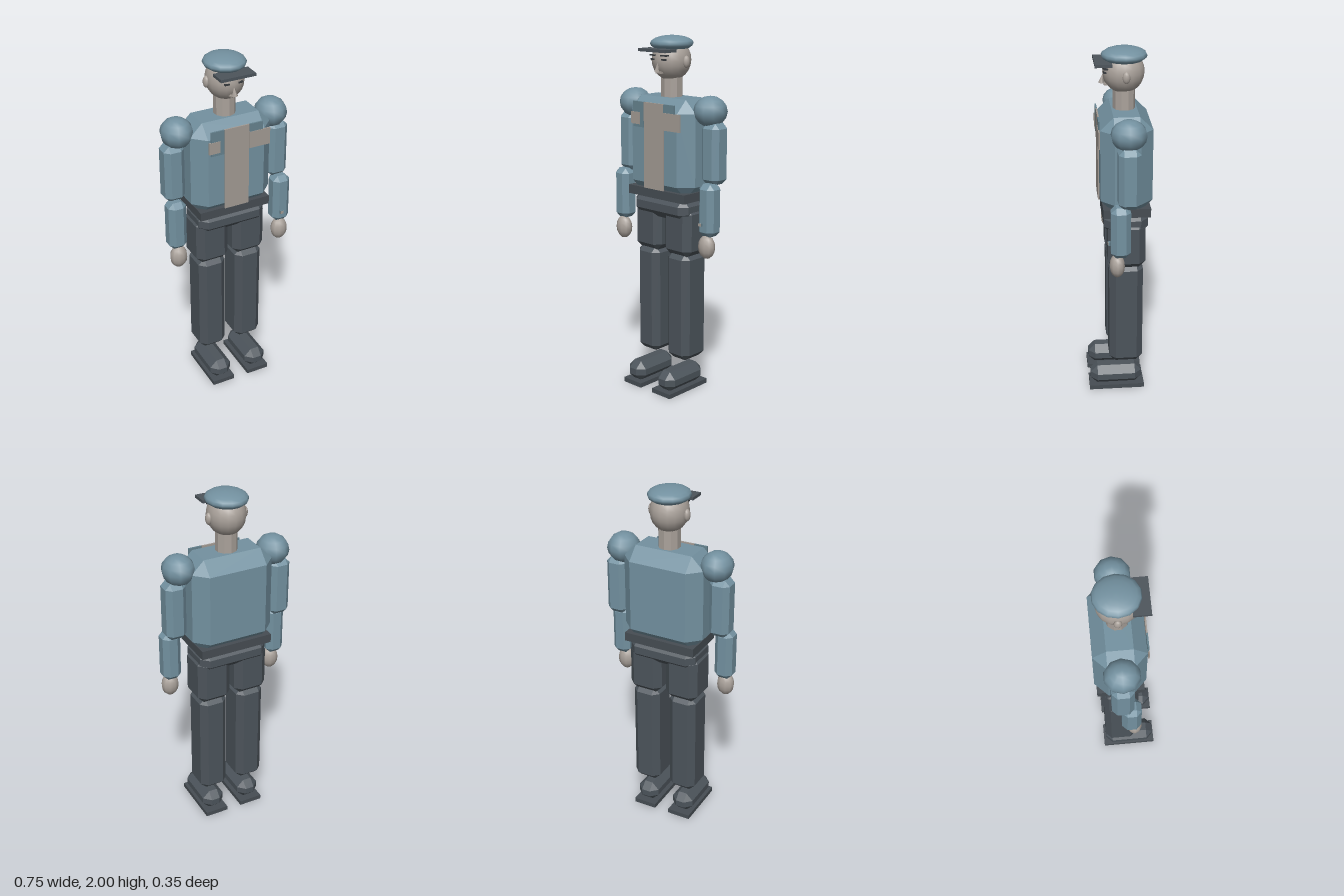
import * as THREE from 'three';
import { ConvexGeometry } from 'three/addons/geometries/ConvexGeometry.js';

const material = (name, color, flatShading = false) => {
  const m = new THREE.MeshStandardMaterial({ color, flatShading });
  m.name = name;
  return m;
};

// Box with chamfered edges and triangular corners
function chamferBox(w, h, d, b) {
  const x = w / 2, y = h / 2, z = d / 2, pts = [];
  for (const i of [-1, 1]) for (const j of [-1, 1]) for (const k of [-1, 1]) {
    pts.push(new THREE.Vector3(i * x, j * (y - b), k * (z - b)));
    pts.push(new THREE.Vector3(i * (x - b), j * y, k * (z - b)));
    pts.push(new THREE.Vector3(i * (x - b), j * (y - b), k * z));
  }
  return new ConvexGeometry(pts);
}

export function createModel() {
  const root = new THREE.Group();
  root.name = 'uniformedFigure';
  const blue = material('uniformBlue', 0x7391a0);
  const pocketBlue = material('pocketBlue', 0x66838f);
  const skin = material('skin', 0xaaa29b);
  const tan = material('panelTan', 0xa39b94);
  const dark = material('trouserGrey', 0x4c545b);
  const beltGrey = material('beltGrey', 0x464d53);
  const black = material('featureDark', 0x35393d);
  const Z = -0.037; // body axis

  const add = (name, geo, mat, x, y, z) => {
    const m = new THREE.Mesh(geo, mat);
    m.name = name;
    m.position.set(x, y, z);
    root.add(m);
    return m;
  };
  // Parts given by their extents: [x0, x1], [y0, y1], [z0, z1]
  const mid = (r) => (r[0] + r[1]) / 2, len = (r) => r[1] - r[0];
  const box = (name, mat, x, y, z) =>
    add(name, new THREE.BoxGeometry(len(x), len(y), len(z)), mat, mid(x), mid(y), mid(z));
  const soft = (name, mat, x, y, z, b) =>
    add(name, chamferBox(len(x), len(y), len(z), b), mat, mid(x), mid(y), mid(z));
  const ball = (name, mat, c, r, ws, hs) =>
    add(name, new THREE.SphereGeometry(1, ws, hs).scale(...r), mat, ...c);

  // Torso, belt and hips
  soft('torso', blue, [-0.237, 0.237], [1.13, 1.67], [-0.177, 0.103], 0.071);
  box('belt', beltGrey, [-0.21, 0.21], [1.115, 1.165], [-0.166, 0.092]);
  soft('hips', dark, [-0.2, 0.2], [1.0, 1.13], [-0.157, 0.085], 0.043);

  // Shirt front, pockets and badges
  box('shirtFront', tan, [-0.072, 0.072], [1.17, 1.645], [0.102, 0.11]);
  for (const s of [-1, 1])
    box('pocket', pocketBlue, s < 0 ? [-0.152, -0.075] : [0.075, 0.152], [1.505, 1.645], [0.102, 0.111]);
  box('rightBadge', tan, [-0.165, -0.1], [1.52, 1.587], [0.106, 0.114]);
  box('leftBadge', tan, [0.07, 0.195], [1.505, 1.6], [0.106, 0.114]);

  // Neck and head
  add('neck', new THREE.CylinderGeometry(0.06, 0.06, 0.16, 10).toNonIndexed(),
    material('neckSkin', 0xaaa29b, true), 0, 1.72, Z);
  ball('head', skin, [0, 1.868, -0.034], [0.104, 0.113, 0.112], 16, 12);
  ball('cap', blue, [0, 1.957, Z], [0.115, 0.043, 0.123], 14, 10);
  box('capBrim', dark, [-0.1, 0.1], [1.917, 1.933], [0.033, 0.123]);

  // Face
  const nose = add('nose', new THREE.ConeGeometry(0.018, 0.055, 4), skin, 0, 1.835, 0.078);
  nose.rotation.x = -0.15;
  box('mouth', tan, [-0.021, 0.021], [1.8, 1.81], [0.05, 0.071]);
  for (const s of [-1, 1]) {
    const side = s < 0 ? 'right' : 'left';
    const span = (a, b) => (s < 0 ? [-b, -a] : [a, b]);
    ball(side + 'Ear', skin, [s * 0.104, 1.862, -0.04], [0.017, 0.033, 0.021], 10, 8);
    box(side + 'Brow', black, span(0.018, 0.06), [1.893, 1.9], [0.05, 0.075]);
    box(side + 'Eye', black, span(0.026, 0.052), [1.871, 1.879], [0.055, 0.075]);

    // Arms
    ball(side + 'Shoulder', blue, [s * 0.28, 1.613, Z], [0.089, 0.083, 0.097], 10, 8);
    soft(side + 'UpperArm', blue, span(0.254, 0.37), [1.225, 1.555], [-0.097, 0.022], 0.028);
    soft(side + 'Forearm', blue, span(0.269, 0.373), [0.945, 1.235], [-0.044, 0.062], 0.028);
    ball(side + 'Hand', skin, [s * 0.318, 0.887, 0.027], [0.05, 0.067, 0.042], 10, 8);

    // Legs and shoes
    soft(side + 'Thigh', dark, span(0.014, 0.21), [0.797, 1.08], [-0.142, 0.064], 0.037);
    soft(side + 'Shin', dark, span(0.033, 0.196), [0.183, 0.815], [-0.131, 0.058], 0.035);
    soft(side + 'Shoe', dark, span(0.05, 0.18), [0.02, 0.137], [-0.13, 0.167], 0.04);
    box(side + 'Sole', beltGrey, span(0.045, 0.182), [0, 0.026], [-0.143, 0.174]);
  }

  // Cuff button
  box('cuffButton', pocketBlue, [0.299, 0.319], [1.008, 1.026], [0.058, 0.074]);
  box('cuffButtonFace', tan, [0.3, 0.318], [1.009, 1.025], [0.074, 0.077]);
  return root;
}
